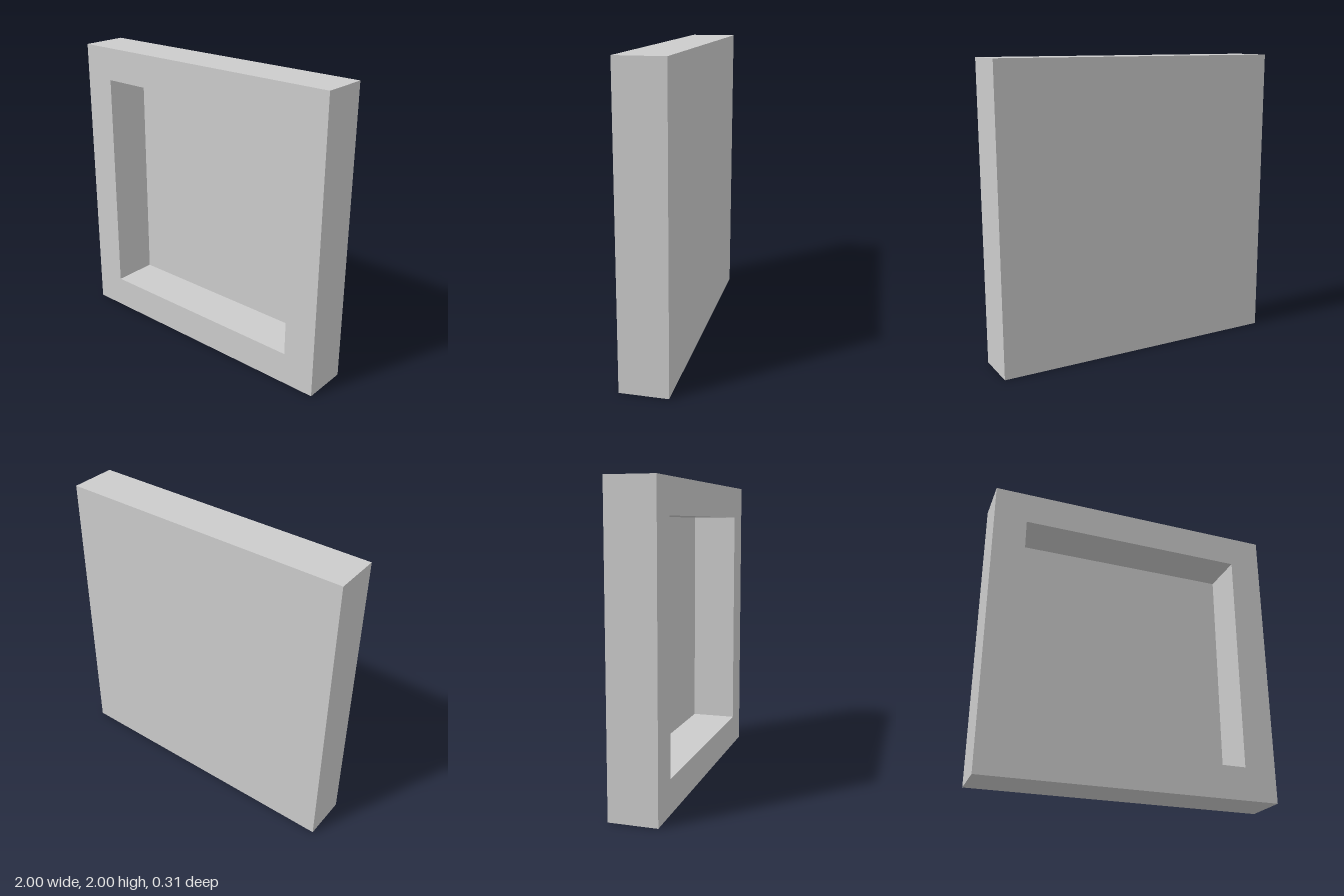
import * as THREE from 'three';

const SIZE = 2, OPENING = 1.556, DEPTH = 0.314;

// Corners of a centred square, counter-clockwise
const square = (size) => [[-1, -1], [1, -1], [1, 1], [-1, 1]]
  .map(([x, y]) => new THREE.Vector2(x * size / 2, y * size / 2));

export function createModel() {
  const model = new THREE.Group();
  model.name = 'shadowBox';

  // Square border with a square opening
  const outline = new THREE.Shape(square(SIZE));
  outline.holes.push(new THREE.Path(square(OPENING).reverse()));
  const frame = new THREE.Mesh(
    new THREE.ExtrudeGeometry(outline, { depth: DEPTH, bevelEnabled: false }),
    new THREE.MeshStandardMaterial({ color: 0xcccccc, flatShading: true })
  );
  frame.name = 'frame';
  frame.position.set(0, SIZE / 2, -DEPTH / 2);

  // Thin panel closing the opening, flush with the back of the frame
  const backPanel = new THREE.Mesh(
    new THREE.PlaneGeometry(OPENING, OPENING),
    new THREE.MeshStandardMaterial({ color: 0xcccccc, side: THREE.DoubleSide })
  );
  backPanel.name = 'backPanel';
  backPanel.position.set(0, SIZE / 2, -DEPTH / 2);

  model.add(frame, backPanel);
  return model;
}
